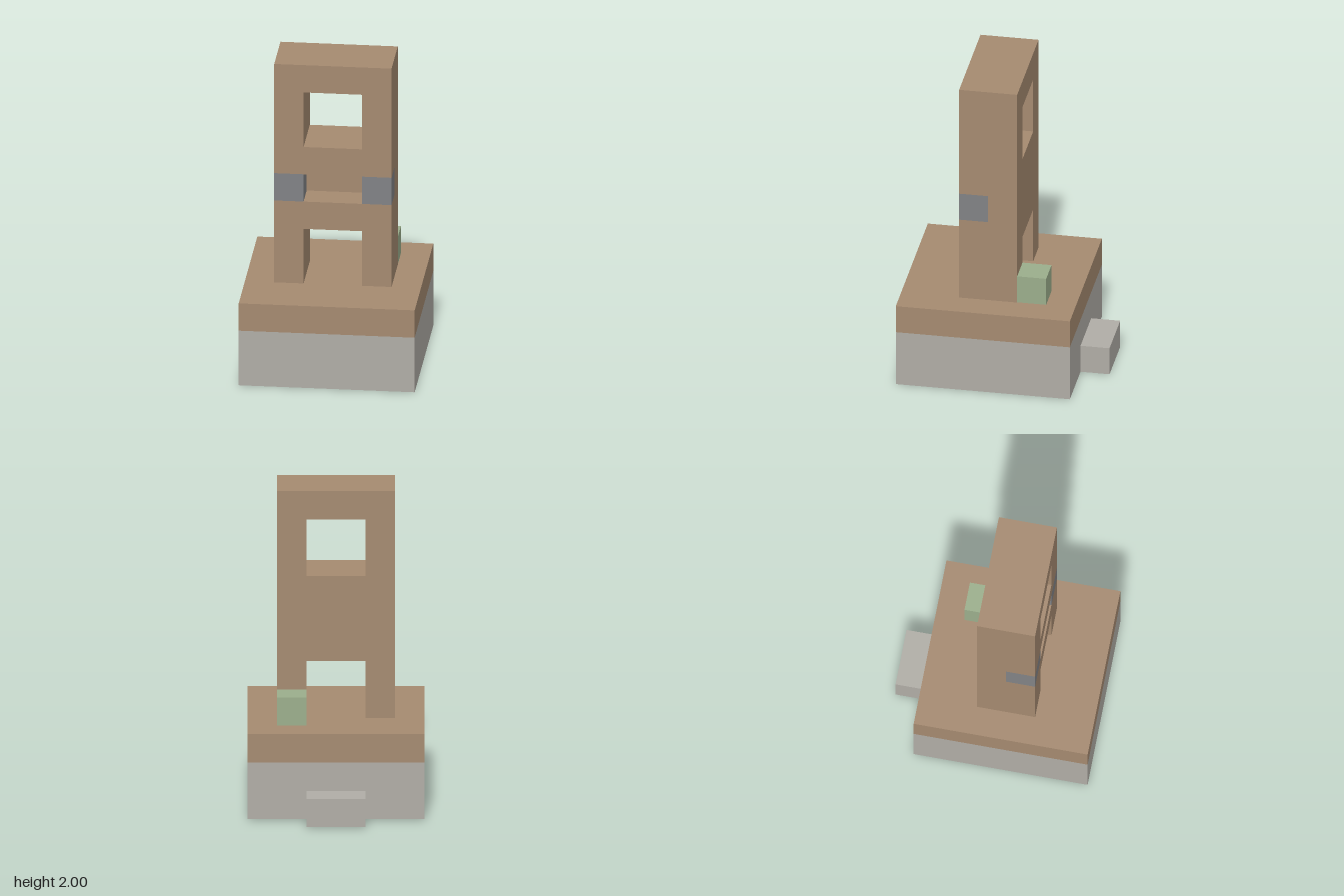
import * as THREE from 'three';

// One block of the modular grid
const U = 2 / 11;

export function createModel() {
  const model = new THREE.Group();
  const material = (name, color, side = THREE.FrontSide) => {
    const m = new THREE.MeshStandardMaterial({ color, side });
    m.name = name;
    return m;
  };
  // The base is an open shell, so its materials show both sides
  const wood = material('brown clay', 0xa58a70, THREE.DoubleSide);
  const stone = material('pale stone', 0xb0ada6, THREE.DoubleSide);
  const slate = material('slate', 0x818285);
  const green = material('moss green', 0x9bae8c);

  const add = (name, geometry, mat, x, y, z, parent = model) => {
    const mesh = new THREE.Mesh(geometry, mat);
    mesh.name = name;
    mesh.position.set(x * U, y * U, z * U);
    parent.add(mesh);
    return mesh;
  };
  const outline = (points, Type = THREE.Shape) =>
    new Type(points.map(([x, y]) => new THREE.Vector2(x * U, y * U)));
  const panel = (name, w, h, mat, x, y, z, turn, parent) => {
    const mesh = add(name, new THREE.PlaneGeometry(w * U, h * U), mat, x, y, z, parent);
    mesh.rotation.y = turn;
    return mesh;
  };

  // Hollow base, open underneath: stone below, clay rim above
  const base = new THREE.Group();
  base.name = 'base';
  model.add(base);
  for (const [name, x, z, turn] of [
    ['front', 0, 3.5, 0], ['left', 3, 0.5, Math.PI / 2],
    ['right', -3, 0.5, -Math.PI / 2], ['back', 0, -2.5, Math.PI],
  ]) {
    panel(name + 'Rim', 6, 1, wood, x, 2.5, z, turn, base);
    if (name !== 'back') panel(name + 'StoneWall', 6, 2, stone, x, 1, z, turn, base);
  }
  // The back wall opens into the step
  const backWall = outline([[-3, 0], [-1, 0], [-1, 1], [1, 1], [1, 0], [3, 0], [3, 2], [-3, 2]]);
  add('backStoneWall', new THREE.ShapeGeometry(backWall), stone, 0, 0, -2.5, base).rotation.y = Math.PI;
  add('baseTop', new THREE.PlaneGeometry(6 * U, 6 * U), wood, 0, 3, 0.5, base).rotation.x = -Math.PI / 2;

  // Hollow step behind the base
  const step = new THREE.Group();
  step.name = 'backStep';
  model.add(step);
  panel('stepBack', 2, 1, stone, 0, 0.5, -3.5, Math.PI, step);
  for (const s of [-1, 1]) panel('stepSide', 1, 1, stone, s, 0.5, -3, s * Math.PI / 2, step);
  add('stepTop', new THREE.PlaneGeometry(2 * U, U), stone, 0, 1, -3, step).rotation.x = -Math.PI / 2;

  // Tower in layers: a full back slab, and a front slab split by the slot
  const tower = new THREE.Group();
  tower.name = 'tower';
  model.add(tower);
  const slab = (name, points, z, window) => {
    const shape = outline(points);
    if (window) shape.holes.push(outline([[-1, 8], [-1, 10], [1, 10], [1, 8]], THREE.Path));
    add(name, new THREE.ExtrudeGeometry(shape, { depth: U, bevelEnabled: false }), wood, 0, 0, z, tower);
  };
  const archFeet = [[-2, 3], [-1, 3], [-1, 5], [1, 5], [1, 3], [2, 3]];
  slab('towerBack', [...archFeet, [2, 11], [-2, 11]], -0.5, true);
  slab('towerFrontArch', [...archFeet, [2, 6], [-2, 6]], 0.5, false);
  slab('towerFrontWindow', [[-2, 7], [2, 7], [2, 11], [-2, 11]], 0.5, true);

  // Slate blocks on both sides of the slot
  const block = new THREE.BoxGeometry(U, U, U);
  for (const s of [-1, 1]) add('slotSideBlock', block, slate, s * 1.5, 6.5, 1, tower);

  // Green block behind the tower
  add('greenBlock', block, green, 1.5, 3.51, -1);

  return model;
}
